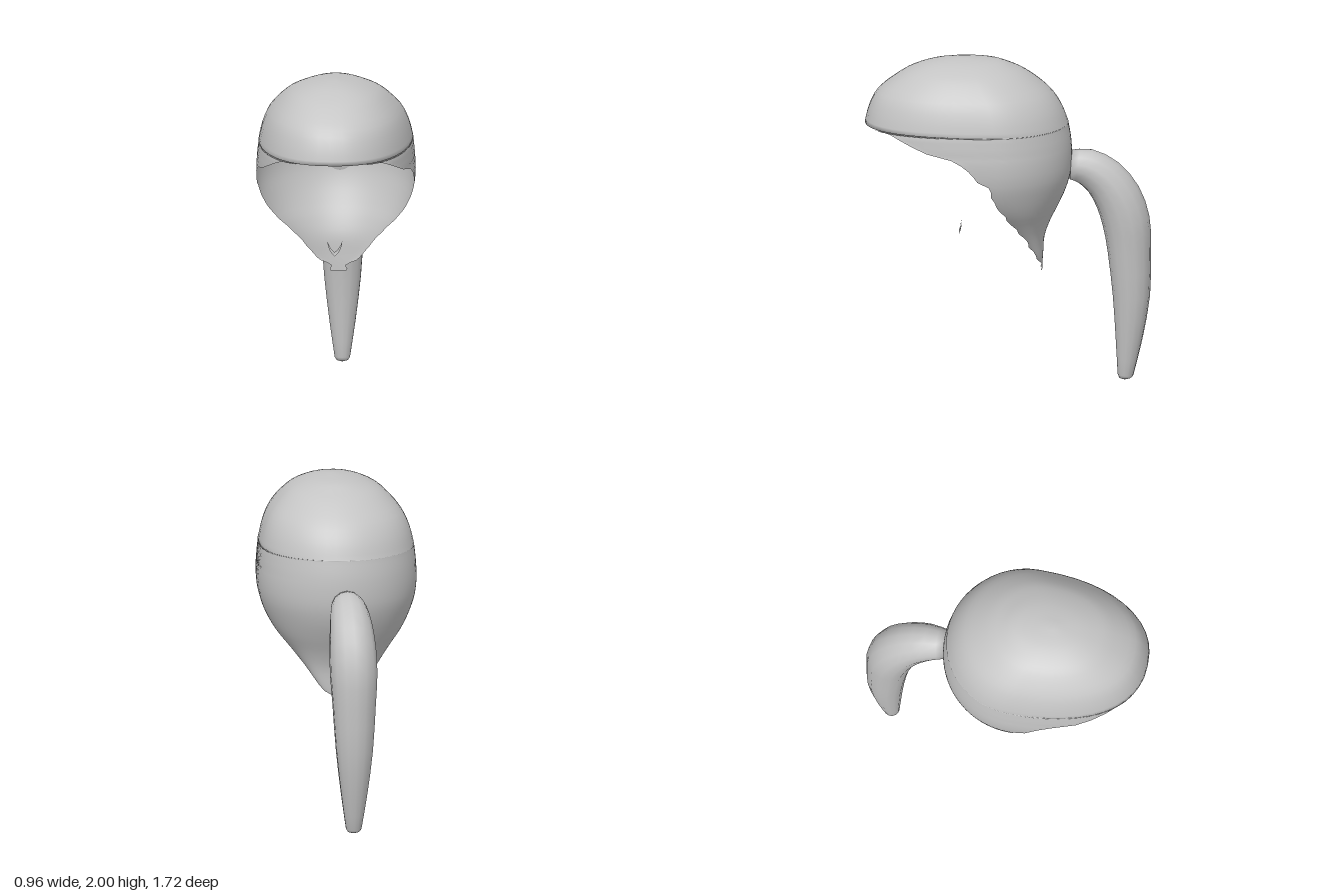
import * as THREE from 'three';
import { mergeVertices } from 'three/addons/utils/BufferGeometryUtils.js';

const hair = new THREE.MeshStandardMaterial({ color: 0xc4c4c4, side: THREE.DoubleSide });
hair.name = 'hairGrey';

// Skin a list of equally long point rows into one smooth surface
function loft(name, rows) {
  const cols = rows[0].length;
  const index = [];
  for (let i = 0; i < rows.length - 1; i++) {
    for (let j = 0; j < cols - 1; j++) {
      const a = i * cols + j, b = a + 1, c = a + cols, d = c + 1;
      index.push(a, b, c, b, d, c);
    }
  }
  let geometry = new THREE.BufferGeometry();
  geometry.setAttribute('position', new THREE.Float32BufferAttribute(rows.flat(2), 3));
  geometry.setIndex(index);
  geometry = mergeVertices(geometry, 1e-4);
  geometry.computeVertexNormals();
  const mesh = new THREE.Mesh(geometry, hair);
  mesh.name = name;
  return mesh;
}

// Catmull-Rom subdivision of numeric key rows
function refine(keys, steps) {
  const out = [];
  const at = (i) => keys[Math.min(Math.max(i, 0), keys.length - 1)];
  for (let i = 0; i < keys.length - 1; i++) {
    for (let s = 0; s < steps; s++) {
      const t = s / steps;
      out.push(keys[i].map((p1, n) => {
        const p0 = at(i - 1)[n], p2 = at(i + 1)[n], p3 = at(i + 2)[n];
        return p1 + 0.5 * t * (p2 - p0 + t * (2 * p0 - 5 * p1 + 4 * p2 - p3 + t * (3 * (p1 - p2) + p3 - p0)));
      }));
    }
  }
  out.push(keys[keys.length - 1]);
  return out;
}

// Hairline as [y, z], from the brow down to the nape
const HAIRLINE = [
  [1.605, 0.86], [1.595, 0.72], [1.54, 0.6], [1.5, 0.5], [1.475, 0.38], [1.45, 0.3], [1.34, 0.2],
  [1.29, 0.12], [1.2, 0.1], [1.05, 0.0], [0.92, -0.1], [0.82, -0.15], [0.75, -0.195], [0.69, -0.203],
];

function hairlineZ(y) {
  for (let i = 0; i < HAIRLINE.length - 1; i++) {
    const [y0, z0] = HAIRLINE[i], [y1, z1] = HAIRLINE[i + 1];
    if (y >= y1) return z0 + (z1 - z0) * (y0 - y) / (y0 - y1);
  }
  return -0.203;
}

// Open shell over the skull, in level sections trimmed at the hairline
function makeCap() {
  // y, back z, front z, z of the widest point, half width
  const sections = [
    [2.0, 0.28, 0.28, 0.28, 0], [1.985, 0.07, 0.43, 0.25, 0.12], [1.95, -0.03, 0.55, 0.22, 0.225],
    [1.9, -0.13, 0.65, 0.19, 0.305], [1.8, -0.255, 0.78, 0.14, 0.395], [1.7, -0.325, 0.835, 0.11, 0.44],
    [1.605, -0.362, 0.86, 0.1, 0.463], [1.595, -0.364, 0.86, 0.1, 0.464], [1.5, -0.38, 0.86, 0.1, 0.474],
    [1.4, -0.385, 0.86, 0.1, 0.478], [1.3, -0.378, 0.86, 0.1, 0.468], [1.2, -0.35, 0.86, 0.09, 0.435],
    [1.1, -0.305, 0.8, 0.04, 0.378], [1.0, -0.255, 0.7, -0.03, 0.295], [0.9, -0.22, 0.6, -0.105, 0.215],
    [0.8, -0.212, 0.5, -0.16, 0.145], [0.74, -0.208, 0.45, -0.19, 0.09], [0.69, -0.206, 0.4, -0.2, 0.045],
  ];
  const cols = 48, power = 0.87;
  const rows = refine(sections, 3).map(([y, back, front, mid, width]) => {
    let limit = Math.PI;
    if (y < 1.604) {
      const ragged = y < 1.44 ? 0.008 * Math.sin(y * 67) : 0;
      const z = Math.max(hairlineZ(y) + ragged, back + 0.002);
      const q = Math.min(1, z > mid ? (z - mid) / (front - mid) : (mid - z) / (mid - back));
      limit = z > mid ? Math.acos(-Math.pow(q, 1 / power)) : Math.acos(q);
    }
    return Array.from({ length: cols + 1 }, (_, j) => {
      const t = limit * (2 * j / cols - 1), c = Math.cos(t), s = Math.sin(t);
      if (c >= 0) return [width * s, y, mid - c * (mid - back)];
      const x = Math.sign(s) * Math.pow(Math.abs(s), power);
      return [width * x, y, mid + Math.pow(-c, power) * (front - mid)];
    });
  });
  return loft('hairCap', rows);
}

// Tapering tail that leaves the back of the head and hangs down
function makePonytail() {
  // y, z, radius
  const keys = [
    [1.33, -0.375, 0.09], [1.317, -0.47, 0.112], [1.25, -0.575, 0.128], [1.13, -0.66, 0.141],
    [0.98, -0.71, 0.143], [0.8, -0.73, 0.131], [0.52, -0.742, 0.112], [0.25, -0.727, 0.08], [0.03, -0.706, 0.047],
  ];
  const path = refine(keys, 2);
  const sides = 14;
  const rows = path.map(([y, z, r], i) => {
    const a = path[Math.max(i - 1, 0)], b = path[Math.min(i + 1, path.length - 1)];
    const length = Math.hypot(b[0] - a[0], b[1] - a[1]);
    const ty = (b[0] - a[0]) / length, tz = (b[1] - a[1]) / length;
    return Array.from({ length: sides + 1 }, (_, j) => {
      const t = Math.PI * (2 * j / sides - 1), n = r * Math.cos(t);
      return [r * Math.sin(t), y - n * tz, z + n * ty];
    });
  });
  // Closed root and softly rounded tip
  const point = (x, y, z) => Array.from({ length: sides + 1 }, () => [x, y, z]);
  const rim = rows[rows.length - 1].map(([x, y, z]) => [x * 0.75, 0.012, -0.704 + (z + 0.706) * 0.75]);
  return loft('ponytail', [point(0, 1.33, -0.375), ...rows, rim, point(0, 0, -0.702)]);
}

// Small thin V-shaped tuft in front of the chin
function makeChinTuft() {
  const shape = new THREE.Shape();
  shape.moveTo(-0.045, 0.995);
  shape.quadraticCurveTo(-0.042, 0.935, 0, 0.903);
  shape.quadraticCurveTo(0.042, 0.935, 0.045, 0.995);
  shape.quadraticCurveTo(0.028, 0.945, 0, 0.93);
  shape.quadraticCurveTo(-0.028, 0.945, -0.045, 0.995);
  const geometry = new THREE.ShapeGeometry(shape, 6);
  const p = geometry.attributes.position;
  for (let i = 0; i < p.count; i++) {
    p.setZ(i, 0.296 - 0.25 * Math.abs(p.getX(i)) - 0.08 * (p.getY(i) - 0.9));
  }
  geometry.computeVertexNormals();
  const mesh = new THREE.Mesh(geometry, hair);
  mesh.name = 'chinTuft';
  return mesh;
}

export function createModel() {
  const group = new THREE.Group();
  group.name = 'ponytailHair';
  group.add(makeCap(), makePonytail(), makeChinTuft());
  return group;
}
